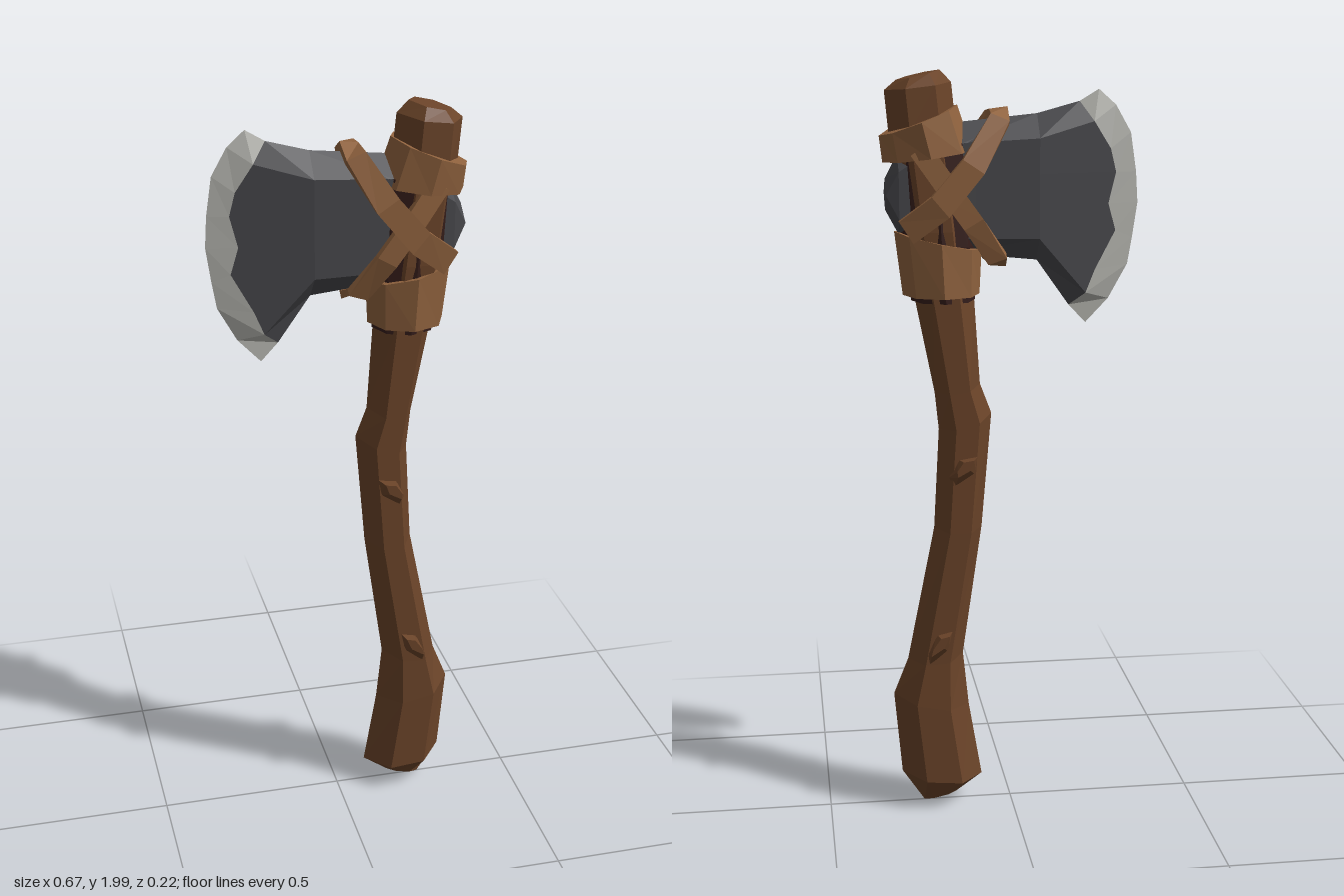
import * as THREE from 'three';

const mat = (name, color) => Object.assign(new THREE.MeshStandardMaterial({ color }), { name });

// Faceted geometry from a list of triangles
function facets(tris) {
  const g = new THREE.BufferGeometry();
  g.setAttribute('position', new THREE.Float32BufferAttribute(tris.flat(2), 3));
  g.computeVertexNormals();
  return g;
}

// Capped skin over rings of equal length; turned outward by its signed volume
function loft(rings) {
  const tris = [], n = rings[0].length;
  for (let i = 0; i + 1 < rings.length; i++) {
    for (let j = 0; j < n; j++) {
      const k = (j + 1) % n;
      const [a, b, c, d] = [rings[i][j], rings[i][k], rings[i + 1][k], rings[i + 1][j]];
      tris.push([a, b, c], [a, c, d]);
    }
  }
  const first = rings[0], last = rings[rings.length - 1];
  for (let j = 1; j + 1 < n; j++) {
    tris.push([first[0], first[j + 1], first[j]], [last[0], last[j], last[j + 1]]);
  }
  const v = (p) => new THREE.Vector3(...p);
  const o = first[0];
  const volume = tris.reduce((s, t) => {
    const [a, b, c] = t.map((p) => v(p).sub(v(o)));
    return s + a.dot(b.cross(c));
  }, 0);
  return facets(volume < 0 ? tris.map(([a, b, c]) => [a, c, b]) : tris);
}

// Six-sided wood ring between a left and a right corner
function woodRing([xl, yl, xr, yr, z]) {
  const at = (t, s) => [xl + (xr - xl) * t, yl + (yr - yl) * t, s * z];
  return [at(0, 0), at(0.28, 1), at(0.72, 1), at(1, 0), at(0.72, -1), at(0.28, -1)];
}

// Eight-sided ring, tilted by a slope along x
function bandRing([cx, cy, rx, rz, slope]) {
  return Array.from({ length: 8 }, (_, i) => {
    const a = (i * Math.PI) / 4, dx = rx * Math.cos(a);
    return [cx + dx, cy + slope * dx, rz * Math.sin(a)];
  });
}

// Flat strap: half path of [x, y, z, widthX, widthY, normalY, normalZ], mirrored in z
function strap(half) {
  const flip = half.slice(1).reverse().map(([x, y, z, wx, wy, ny, nz]) => [x, y, -z, wx, wy, ny, -nz]);
  const t = 0.022;
  return loft([...flip, ...half].map(([x, y, z, wx, wy, ny, nz]) => [
    [x + wx, y + wy, z],
    [x - wx, y - wy, z],
    [x - wx, y - wy - ny * t, z - nz * t],
    [x + wx, y + wy - ny * t, z - nz * t],
  ]));
}

export function createModel() {
  const axe = new THREE.Group();
  axe.name = 'axe';
  const wood = mat('wood', 0x6b4429);
  const leather = mat('leather', 0x8f623e);
  const iron = mat('iron', 0x48484c);
  const steel = mat('bare steel', 0xb6b6b0);
  const binding = mat('dark binding', 0x351d1a);
  const add = (name, geometry, material) => {
    const m = new THREE.Mesh(geometry, material);
    m.name = name;
    axe.add(m);
    return m;
  };

  // Crooked handle, from the chamfered foot to the knob on top
  add('handle', loft([
    [0.15, 0.03, 0.24, 0.01, 0.012],
    [0.08, 0.08, 0.30, 0.10, 0.078],
    [0.115, 0.29, 0.32, 0.33, 0.078],
    [0.13, 0.44, 0.28, 0.43, 0.075],
    [0.077, 0.80, 0.205, 0.80, 0.075],
    [0.05, 1.11, 0.19, 1.07, 0.075],
    [0.08, 1.19, 0.20, 1.17, 0.075],
    [0.095, 1.43, 0.255, 1.45, 0.077],
    [0.11, 1.60, 0.28, 1.60, 0.088],
    [0.14, 1.87, 0.31, 1.84, 0.086],
    [0.15, 1.97, 0.32, 1.95, 0.082],
    [0.18, 2.00, 0.29, 1.975, 0.055],
  ].map(woodRing)), wood);

  // Knots: wedge stubs on the front and back of the handle
  const knots = [
    { x: 0.135, y: 0.965, w: 0.035, h: 0.045, z: 0.106, lean: -0.01 },
    { x: 0.205, y: 0.475, w: 0.03, h: 0.055, z: 0.1, lean: -0.015 },
  ];
  for (const { x, y, w, h, z, lean } of knots) {
    for (const s of [1, -1]) {
      const ring = (k, depth, up) => [
        [x - w * k + lean, y + h * k + up, s * depth],
        [x + w * k * 0.6 + lean, y + h * k * 0.8 + up, s * depth],
        [x + w * k, y - h * k * 0.3 + up, s * depth],
        [x + w * k * 0.3 - lean, y - h * k + up, s * depth],
        [x - w * k, y - h * k * 0.2 + up, s * depth],
      ];
      add('knot', loft([ring(1, 0.06, 0), ring(0.5, z, 0.02)]), wood);
    }
  }

  // Blade rows from top to bottom: cutting edge, jagged border, cheek and root heights
  const rows = [
    [-0.23, 1.95, -0.18, 1.92, 1.89, 1.87],
    [-0.275, 1.91, -0.215, 1.87, 1.83, 1.82],
    [-0.315, 1.84, -0.26, 1.80, 1.79, 1.78],
    [-0.33, 1.74, -0.275, 1.74, 1.74, 1.74],
    [-0.335, 1.66, -0.255, 1.66, 1.69, 1.70],
    [-0.322, 1.57, -0.275, 1.59, 1.65, 1.66],
    [-0.31, 1.50, -0.22, 1.49, 1.61, 1.62],
    [-0.26, 1.41, -0.195, 1.43, 1.575, 1.58],
    [-0.20, 1.347, -0.155, 1.395, 1.515, 1.535],
  ];
  const grid = rows.map(([ex, ey, bx, by, cy, ry], i) => {
    const rim = i === 0 || i === rows.length - 1 ? 0 : 1;
    const border = rim * (0.055 * (bx + 0.335)) / 0.265;
    return [[ex, ey, 0], [bx, by, border], [-0.07, cy, 0.055 * rim], [0.13, ry, 0.058 * rim]];
  });
  const bladeSkin = (from, to) => {
    const tris = [];
    for (const s of [1, -1]) {
      const p = (i, j) => [grid[i][j][0], grid[i][j][1], s * grid[i][j][2]];
      for (let i = 0; i + 1 < grid.length; i++) {
        for (let j = from; j < to; j++) {
          const [a, b, c, d] = [p(i, j), p(i + 1, j), p(i + 1, j + 1), p(i, j + 1)];
          tris.push(...(s > 0 ? [[a, b, c], [a, c, d]] : [[a, c, b], [a, d, c]]));
        }
      }
    }
    return facets(tris);
  };
  add('cuttingEdge', bladeSkin(0, 1), steel);
  add('blade', bladeSkin(1, 3), iron);

  // Back of the axe head, passing through the handle
  add('poll', loft([
    [0.08, 1.87, 1.535, 0.057],
    [0.23, 1.83, 1.57, 0.062],
    [0.29, 1.79, 1.59, 0.058],
    [0.322, 1.73, 1.65, 0.045],
  ].map(([x, top, bottom, z]) => [
    [x, top, 0], [x, top - 0.04, z], [x, bottom + 0.04, z],
    [x, bottom, 0], [x, bottom + 0.04, -z], [x, top - 0.04, -z],
  ])), iron);

  // Dark wrapping between the leather bands
  add('binding', loft([
    [0.175, 1.415, 0.083, 0.083, 0],
    [0.185, 1.56, 0.098, 0.09, 0],
    [0.2, 1.82, 0.098, 0.09, 0],
  ].map(bandRing)), binding);

  // Leather bands below and above the head
  add('lowerBand', loft([
    [0.18, 1.43, 0.1, 0.1, 0],
    [0.187, 1.57, 0.113, 0.103, 0.22],
  ].map(bandRing)), leather);
  add('upperBand', loft([
    [0.212, 1.785, 0.115, 0.108, -0.13],
    [0.235, 1.875, 0.1, 0.112, -0.38],
  ].map(bandRing)), leather);

  // Crossed straps looping over and under the blade
  add('downwardStrap', strap([
    [0.03, 1.905, 0, 0.024, -0.003, 1, 0],
    [0.033, 1.885, 0.064, 0.024, 0.01, 0.6, 0.8],
    [0.105, 1.765, 0.106, 0.027, 0.018, 0, 1],
    [0.19, 1.665, 0.11, 0.022, 0.026, 0, 1],
    [0.275, 1.60, 0.085, 0.018, 0.028, 0, 1],
  ]), leather);
  add('upwardStrap', strap([
    [0.035, 1.505, 0, 0.024, 0.006, -1, 0],
    [0.04, 1.52, 0.064, 0.024, -0.008, -0.6, 0.8],
    [0.105, 1.62, 0.1, 0.024, -0.014, 0, 1],
    [0.17, 1.71, 0.103, 0.022, -0.017, 0, 1],
    [0.24, 1.81, 0.095, 0.022, -0.017, 0, 1],
  ]), leather);

  return axe;
}
